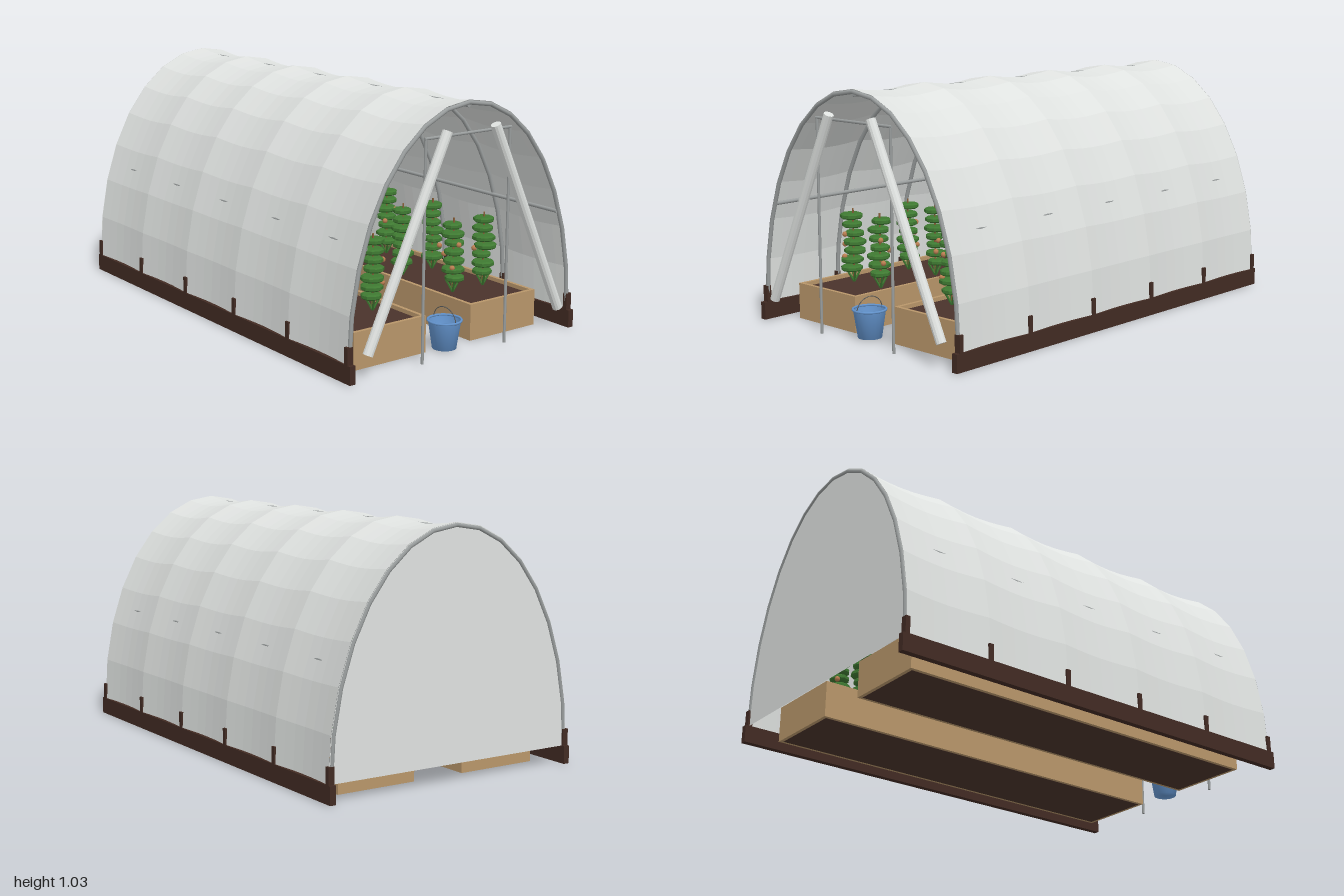
import * as THREE from 'three';

const X0 = -0.98, X1 = 0.96, BAYS = 5, BAY = (X1 - X0) / BAYS;
const BASE = 0.075, A = 0.592, B = 0.955, ARC = 16, SAG = 0.018;

export function createModel() {
  const model = new THREE.Group();
  model.name = 'greenhouse';

  const mat = (name, color, extra = {}) => {
    const m = new THREE.MeshStandardMaterial({ color, ...extra });
    m.name = name;
    return m;
  };
  const flat = { flatShading: true };
  const M = {
    film: mat('plastic film', 0xdfe2e0, { flatShading: true, side: THREE.DoubleSide }),
    steel: mat('steel pipe', 0x9a9e9e),
    darkWood: mat('dark timber', 0x422b23),
    board: mat('bed board', 0xb8966a),
    soil: mat('soil', 0x4a332b),
    leaf: mat('leaf green', 0x3f7a32, flat),
    cane: mat('cane', 0x8a6038),
    fruit: mat('fruit', 0xbb7f52),
    bucket: mat('bucket blue', 0x6495cf, { side: THREE.DoubleSide }),
    wire: mat('wire', 0x55585a),
  };

  const add = (name, geo, material, x = 0, y = 0, z = 0, parent = model) => {
    const m = new THREE.Mesh(geo, material);
    m.name = name;
    m.position.set(x, y, z);
    parent.add(m);
    return m;
  };
  const box = (name, w, h, d, material, x, y, z, parent) =>
    add(name, new THREE.BoxGeometry(w, h, d), material, x, y, z, parent);
  // straight round bar between two points
  const bar = (name, a, b, r, material, sides = 8, parent = model) => {
    const p = new THREE.Vector3(...a), d = new THREE.Vector3(...b).sub(p);
    const m = add(name, new THREE.CylinderGeometry(r, r, d.length(), sides), material, 0, 0, 0, parent);
    m.position.copy(p).addScaledVector(d, 0.5);
    m.quaternion.setFromUnitVectors(new THREE.Vector3(0, 1, 0), d.normalize());
    return m;
  };

  // small seeded generator for plant variety
  let seed = 7;
  const rnd = () => (seed = (seed * 16807) % 2147483647) / 2147483647;

  // film cover: half-elliptic arch that sags inward between the hoops
  const perBay = 6;
  const cover = new THREE.PlaneGeometry(1, 1, BAYS * perBay, ARC);
  const pos = cover.attributes.position;
  for (let i = 0; i < pos.count; i++) {
    const u = (pos.getX(i) + 0.5) * BAYS, t = -pos.getY(i) * Math.PI;
    const s = 1 - SAG * Math.abs(Math.sin(u * Math.PI));
    pos.setXYZ(i, X0 + u * BAY, BASE + B * s * Math.cos(t), A * s * Math.sin(t));
  }
  cover.computeVertexNormals();
  add('filmCover', cover, M.film);

  // closed rear end
  const arch = new THREE.Shape();
  for (let i = 0; i <= ARC; i++) {
    const t = (i / ARC - 0.5) * Math.PI;
    arch[i ? 'lineTo' : 'moveTo'](A * Math.sin(t), BASE + B * Math.cos(t));
  }
  add('rearWall', new THREE.ShapeGeometry(arch), M.film, X0 - 0.002).rotation.y = -Math.PI / 2;

  // hoops, evenly spaced in angle so their facets follow the film
  class Hoop extends THREE.Curve {
    getPoint(k, out = new THREE.Vector3()) {
      const t = (k - 0.5) * Math.PI;
      return out.set(0, BASE + (B - 0.011) * Math.cos(t), (A - 0.011) * Math.sin(t));
    }
    getPointAt(k, out) { return this.getPoint(k, out); }
    getTangentAt(k, out) { return this.getTangent(k, out); }
  }
  const hoopGeo = new THREE.TubeGeometry(new Hoop(), ARC, 0.009, 8);
  for (let i = 0; i <= BAYS; i++) {
    const x = X0 + i * BAY;
    add('hoop', hoopGeo, M.steel, x);
    for (const s of [-1, 1]) box('hoopStake', 0.02, 0.085, 0.027, M.darkWood, x, 0.1025, s * 0.5835);
  }

  // ridge and side purlins, just showing where the film dips
  const pr = 0.008;
  const ridgeY = BASE + B * (1 - SAG) + 0.0018 - pr;
  bar('ridgePurlin', [X0, ridgeY, 0], [X1, ridgeY, 0], pr, M.steel);
  const t = 5.5 * Math.PI / ARC, chord = Math.cos(Math.PI / ARC / 2) * (1 - SAG);
  const n = new THREE.Vector2(Math.sin(t) / A, Math.cos(t) / B).normalize();
  const py = BASE + B * chord * Math.cos(t) - n.y * (pr - 0.0008);
  const pz = A * chord * Math.sin(t) - n.x * (pr - 0.0008);

  for (const s of [-1, 1]) {
    bar('sidePurlin', [X0, py, s * pz], [X1, py, s * pz], pr, M.steel, 16);
    box('baseRail', 1.985, 0.075, 0.027, M.darkWood, -0.0075, 0.0375, s * 0.5835);

    // doorway post and rolled-back door film
    bar('doorPost', [0.962, 0, s * 0.22], [0.962, 0.9, s * 0.22], 0.006, M.steel);
    bar('rolledDoor', [0.979, 0.922, s * 0.125], [0.979, 0.1, s * 0.507], 0.021, M.film, 12);

    // raised bed
    const bed = new THREE.Group();
    bed.name = 'raisedBed';
    bed.position.set(-0.01, 0, s * 0.3025);
    model.add(bed);
    for (const e of [-1, 1]) {
      box('bedSide', 1.75, 0.155, 0.016, M.board, 0, 0.0775, e * 0.1745, bed);
      box('bedEnd', 0.016, 0.155, 0.333, M.board, e * 0.867, 0.0775, 0, bed);
    }
    box('bedSoil', 1.72, 0.139, 0.335, M.soil, 0, 0.0685, 0, bed);

    // two rows of staked plants
    for (const row of [-0.088, 0.085]) {
      for (let i = -2; i <= 2; i++) addPlant(bed, i * 0.325, row + (rnd() - 0.5) * 0.012);
    }
  }
  bar('doorLintel', [0.962, 0.9, -0.226], [0.962, 0.9, 0.226], 0.006, M.steel);

  function addPlant(parent, x, z) {
    const plant = new THREE.Group();
    plant.name = 'plant';
    plant.position.set(x, 0.138, z);
    parent.add(plant);
    bar('plantCane', [0, 0, 0], [0, 0.325, 0], 0.004, M.cane, 6, plant);
    // splayed sprigs at the foot
    for (let k = 0; k < 4; k++) {
      const a = k * Math.PI / 2 + 0.5;
      bar('sprig', [0, 0, 0], [0.03 * Math.cos(a), 0.055, 0.03 * Math.sin(a)], 0.005, M.leaf, 5, plant);
    }
    // stacked round leaf tiers with bevelled rims
    for (let k = 0; k < 7; k++) {
      const r = 0.04 + rnd() * 0.012, h = 0.012;
      const profile = [[0, -h], [r - 0.008, -h], [r, -h * 0.5], [r, h * 0.5], [r - 0.008, h], [0, h]];
      const tier = add('leafTier', new THREE.LatheGeometry(profile.map(p => new THREE.Vector2(...p)), 9),
        M.leaf, (rnd() - 0.5) * 0.014, 0.062 + k * 0.0385, (rnd() - 0.5) * 0.014, plant);
      tier.rotation.y = rnd() * 3;
    }
    // fruit
    for (let k = 0; k < 3; k++) {
      const a = rnd() * 6.28;
      add('fruit', new THREE.SphereGeometry(0.012, 8, 6), M.fruit,
        0.04 * Math.cos(a), 0.115 + k * 0.05, 0.04 * Math.sin(a), plant);
    }
  }

  // bucket by the doorway
  const bucket = new THREE.Group();
  bucket.name = 'bucket';
  bucket.position.set(0.87, 0, 0.025);
  model.add(bucket);
  const wall = [[0, 0.003], [0.05, 0.003], [0.068, 0.122]].map(p => new THREE.Vector2(...p));
  add('bucketShell', new THREE.LatheGeometry(wall, 20), M.bucket, 0, 0, 0, bucket);
  add('bucketRim', new THREE.TorusGeometry(0.069, 0.005, 6, 20), M.bucket, 0, 0.121, 0, bucket).rotation.x = Math.PI / 2;
  const handle = add('bucketHandle', new THREE.TorusGeometry(0.068, 0.002, 6, 16, Math.PI), M.wire, 0, 0.115, 0, bucket);
  handle.scale.y = 0.87;

  return model;
}
